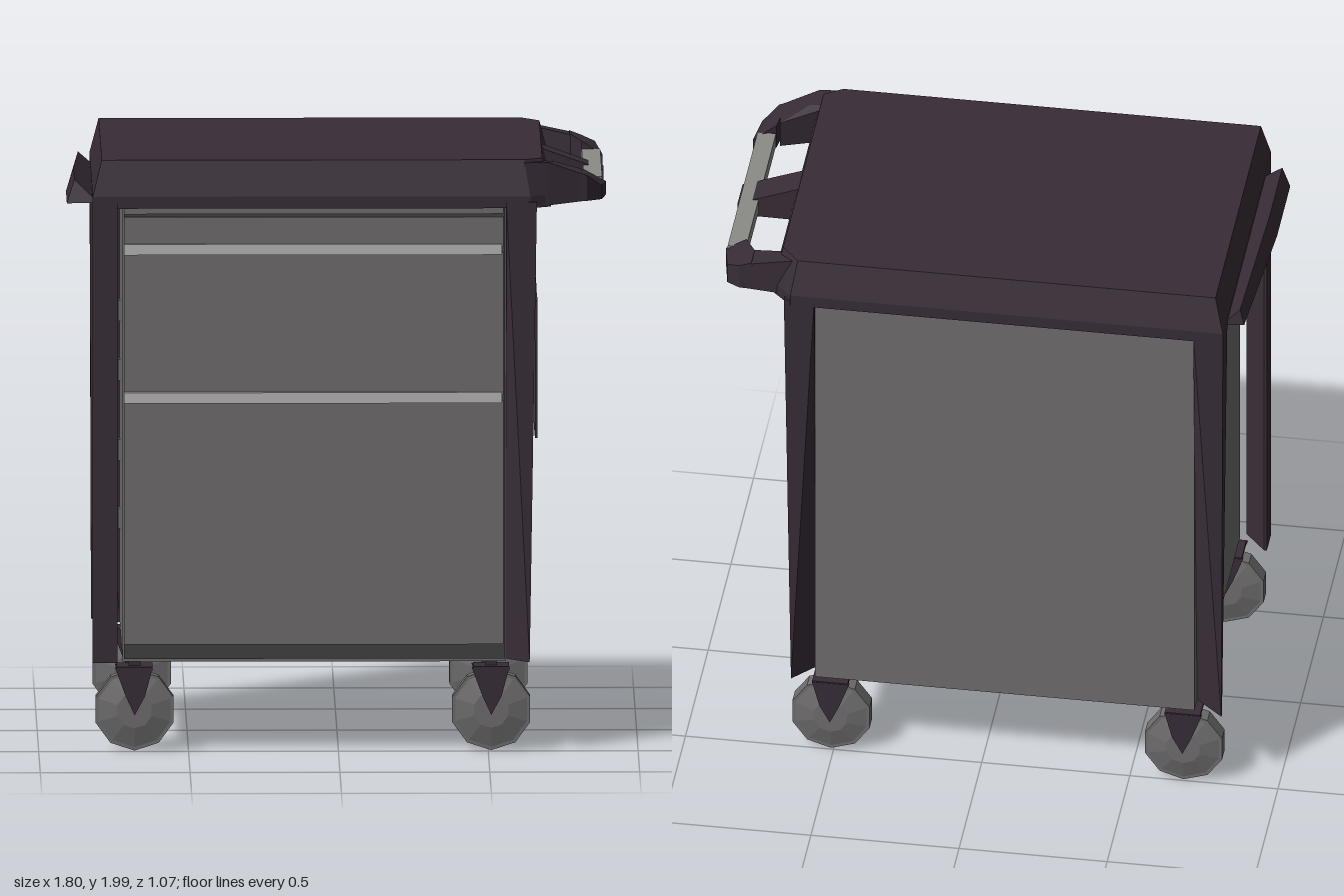
import * as THREE from 'three';
import { ConvexGeometry } from 'three/addons/geometries/ConvexGeometry.js';

const mat = (name, color) => {
  const m = new THREE.MeshStandardMaterial({ color });
  m.name = name;
  return m;
};

export function createModel() {
  const root = new THREE.Group();
  root.name = 'toolCart';
  const gray = mat('panelGray', 0x706e6e);
  const dark = mat('darkTrim', 0x382d37);
  const light = mat('lightHandle', 0xbab9b9);
  const charcoal = mat('charcoal', 0x434143);
  const railGray = mat('railGray', 0x8b8b88);

  const add = (name, geo, m, parent = root) => {
    const mesh = new THREE.Mesh(geo, m);
    mesh.name = name;
    parent.add(mesh);
    return mesh;
  };
  // Box from its minimum and maximum corners
  const box = (name, a, b, m, parent) => {
    const mesh = add(name, new THREE.BoxGeometry(b[0] - a[0], b[1] - a[1], b[2] - a[2]), m, parent);
    mesh.position.set((a[0] + b[0]) / 2, (a[1] + b[1]) / 2, (a[2] + b[2]) / 2);
    return mesh;
  };
  // Flat-sided solid around a list of corners
  const hull = (name, pts, m, parent) =>
    add(name, new ConvexGeometry(pts.map(p => new THREE.Vector3(...p))), m, parent);

  // Cabinet
  box('cabinetBody', [-0.72, 0.31, -0.515], [0.56, 1.85, 0.495], gray);
  box('frontGap', [-0.715, 0.32, 0.495], [0.555, 1.84, 0.5], charcoal);

  // Drawers and their pull strips
  for (const [y0, y1] of [[0.37, 1.19], [1.21, 1.69], [1.71, 1.81]])
    box('drawerFront', [-0.715, y0, 0.495], [0.55, y1, 0.515], gray);
  for (const y of [1.203, 1.703])
    box('drawerPull', [-0.715, y - 0.018, 0.51], [0.545, y + 0.018, 0.532], light);
  box('drawerHeader', [-0.715, 1.82, 0.495], [0.55, 1.845, 0.51], gray);

  // Corner posts: diagonal fins at the foot widening into full corners under the lid
  const post = (name, bottom, top) => hull(name, [
    ...bottom.map(([x, z]) => [x, 0.31, z]), ...top.map(([x, z]) => [x, 1.86, z])], dark);
  const fin = (name, xi, xo, xt, zi, zo) => post(name,
    [[xi, zi], [xi, zi + Math.sign(zo) * 0.012], [xo, zo], [xo, zo - Math.sign(zo) * 0.012]],
    [[xi, zi], [xi, zo], [xt, zo], [xt, zi]]);
  fin('frontLeftPost', 0.56, 0.638, 0.662, 0.42, 0.525);
  fin('backLeftPost', 0.56, 0.638, 0.662, -0.44, -0.538);
  fin('backRightPost', -0.72, -0.815, -0.82, -0.44, -0.538);
  const angle = [[-0.82, 0.525], [-0.738, 0.525], [-0.738, 0.515], [-0.81, 0.43], [-0.82, 0.43]];
  post('frontRightPost', angle, angle);

  // Lid with bevelled rim and cut corners at the handle end
  const rim = (y, x0, x1, x2, z0, z1) =>
    [[x0, y, z0], [x0, y, z1], [x1, y, z1], [x2, y, z1 - 0.04], [x2, y, z0 + 0.07], [x1, y, z0]];
  hull('lid', [
    ...rim(1.84, -0.82, 0.64, 0.71, -0.54, 0.52),
    ...rim(1.88, -0.82, 0.64, 0.71, -0.54, 0.52),
    ...rim(2.0, -0.79, 0.62, 0.68, -0.505, 0.495)], dark);

  // Lip on the side opposite the push handle
  hull('sideLip', [
    [-0.875, 1.845, -0.43], [-0.86, 1.9, -0.42], [-0.8, 1.845, -0.44],
    [-0.905, 1.84, 0.1], [-0.88, 1.92, 0.1],
    [-0.905, 1.84, 0.39], [-0.88, 1.92, 0.38], [-0.8, 1.845, 0.41]], dark);

  // Push handle: two hooked arms, a centre bracket and a rail
  const handle = new THREE.Group();
  handle.name = 'pushHandle';
  root.add(handle);
  const topY = x => 1.99 - Math.max(0, x - 0.7) * 0.38;
  const slab = (name, plan) => hull(name, plan.flatMap(([x, z]) =>
    [[x, x > 0.75 ? 1.855 : 1.845, z], [x, x > 0.87 ? 1.9 : topY(x), z]]), dark, handle);
  slab('handleArmFront', [[0.62, 0.5], [0.7, 0.49], [0.82, 0.455], [0.81, 0.34], [0.72, 0.41], [0.62, 0.42]]);
  slab('handleCornerFront', [[0.8, 0.46], [0.83, 0.455], [0.88, 0.41], [0.895, 0.3], [0.82, 0.33]]);
  slab('handleArmBack', [[0.62, -0.49], [0.8, -0.485], [0.8, -0.4], [0.62, -0.44]]);
  slab('handleCornerBack', [[0.78, -0.485], [0.82, -0.485], [0.865, -0.46], [0.89, -0.33], [0.82, -0.33], [0.78, -0.41]]);
  slab('handleBracket', [[0.64, -0.06], [0.89, -0.07], [0.89, 0.04], [0.64, 0.05]]);
  box('handleRail', [0.82, 1.868, -0.34], [0.882, 1.918, 0.32], railGray, handle);

  // Thin framed double door standing off the handle side
  const win = new THREE.Group();
  win.name = 'sideDoor';
  root.add(win);
  const bar = (name, corners) =>
    hull(name, corners.flatMap(([z, y]) => [[0.658, y, z], [0.667, y, z]]), dark, win);
  box('doorPanes', [0.657, 1.04, -0.25], [0.662, 1.47, 0.23], gray, win);
  box('doorMount', [0.55, 1.2, -0.12], [0.658, 1.32, 0.12], gray, win);
  bar('frameFront', [[0.27, 1.03], [0.27, 1.495], [0.2, 1.48], [0.2, 1.04]]);
  bar('frameBack', [[-0.265, 1.03], [-0.29, 1.495], [-0.21, 1.47], [-0.21, 1.04]]);
  bar('frameTopFront', [[0.27, 1.495], [0.0, 1.48], [0.0, 1.462], [0.2, 1.46]]);
  bar('frameTopBack', [[-0.29, 1.495], [0.0, 1.48], [0.0, 1.462], [-0.21, 1.46]]);
  bar('frameBottomBack', [[0, 1.03], [-0.265, 1.03], [-0.21, 1.055], [0, 1.055]]);
  bar('frameBottomFront', [[0.27, 1.03], [0, 1.03], [0.2, 1.055]]);
  bar('frameMiddle', [[0.002, 1.04], [-0.012, 1.04], [-0.006, 1.47], [0.004, 1.47]]);

  // Small catches on the plain side
  for (const y of [0.7, 0.93, 1.2, 1.4])
    box('sideCatch', [-0.728, y - 0.035, -0.2], [-0.715, y + 0.035, -0.16], gray);

  // Casters: faceted wheel held by two tapered fork plates
  const tread = new THREE.CylinderGeometry(0.137, 0.137, 0.055, 10).rotateX(Math.PI / 2);
  const hub = new THREE.CylinderGeometry(0.06, 0.128, 0.016, 10).rotateX(Math.PI / 2);
  for (const x of [-0.68, 0.51]) for (const z of [0.45, -0.465]) {
    const caster = new THREE.Group();
    caster.name = 'caster';
    caster.position.set(x, 0.145, z);
    root.add(caster);
    add('wheel', tread.toNonIndexed(), gray, caster).geometry.computeVertexNormals();
    for (const s of [-1, 1]) {
      const cap = add('wheelHub', hub.toNonIndexed(), gray, caster);
      cap.geometry.computeVertexNormals();
      cap.position.z = s * 0.035;
      if (s < 0) cap.rotation.y = Math.PI;
      hull('forkPlate', [0.045, 0.054].flatMap(d =>
        [[-0.065, 0.145, s * d], [0.06, 0.145, s * d], [0.035, 0.05, s * d], [0, -0.015, s * d], [-0.03, 0.05, s * d]]),
        dark, caster);
    }
    box('forkTop', [-0.06, 0.135, -0.052], [0.06, 0.148, 0.052], dark, caster);
    box('stem', [-0.02, 0.14, -0.02], [0.02, 0.17, 0.02], dark, caster);
  }
  return root;
}
